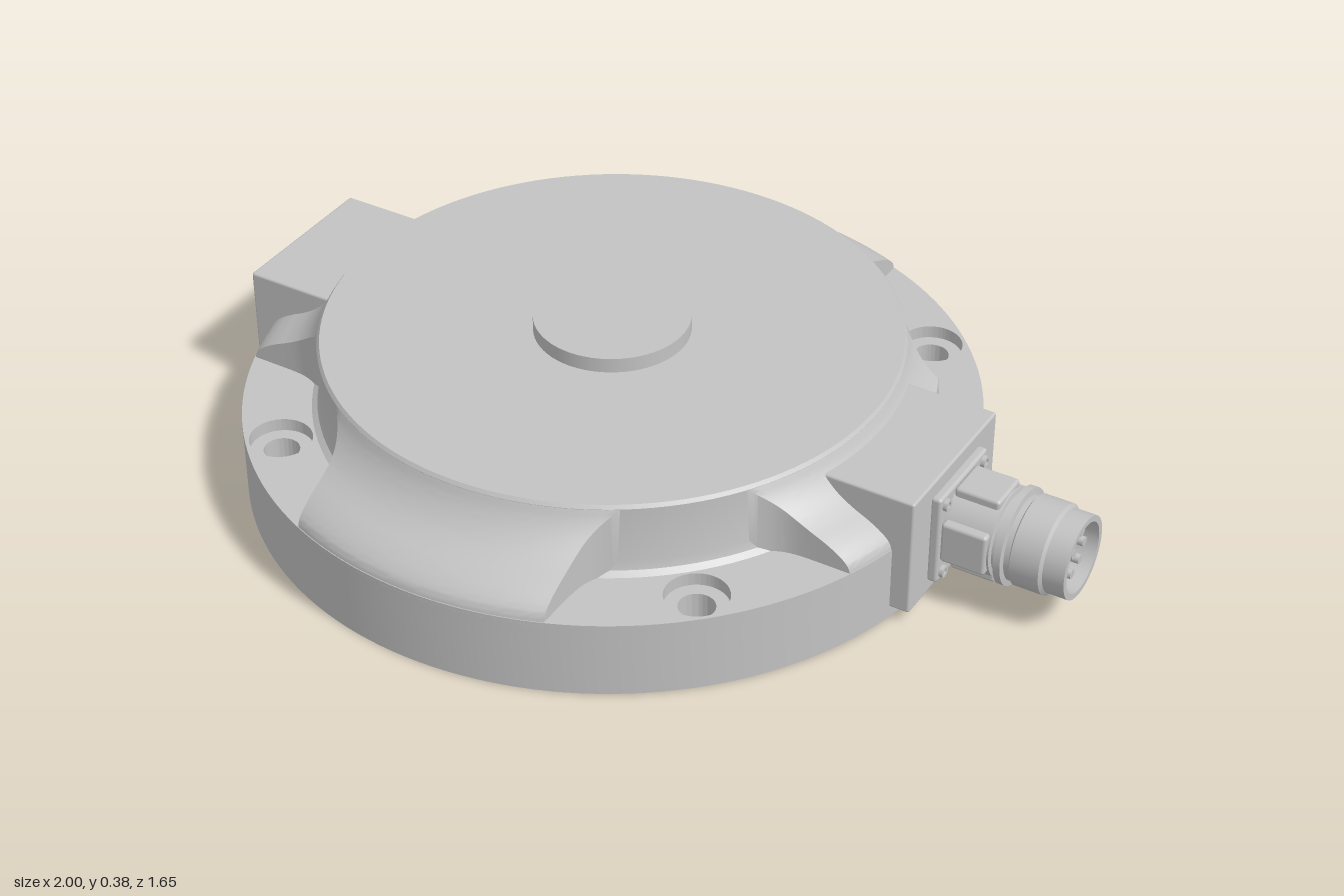
import * as THREE from 'three';
import { toCreasedNormals } from 'three/addons/utils/BufferGeometryUtils.js';
import { RoundedBoxGeometry } from 'three/addons/geometries/RoundedBoxGeometry.js';

const TAU = Math.PI * 2;
const RADIUS = 0.825;

export function createModel() {
  const metal = new THREE.MeshStandardMaterial({ color: 0xc3c3c3, side: THREE.DoubleSide });
  metal.name = 'light grey metal';
  const model = new THREE.Group();
  const body = new THREE.Group();
  body.name = 'body';
  body.position.x = -0.15;
  model.add(body);

  function add(parent, name, geometry, x = 0, y = 0, z = 0) {
    const mesh = new THREE.Mesh(geometry, metal);
    mesh.name = name;
    mesh.position.set(x, y, z);
    parent.add(mesh);
    return mesh;
  }
  const lathe = (points, segments = 96) => toCreasedNormals(
    new THREE.LatheGeometry(points.map(([r, y]) => new THREE.Vector2(r, y)), segments), 0.5);
  const circle = (r, x = 0, y = 0) => new THREE.Path().absarc(x, y, r, 0, TAU, true);

  // Horizontal plate with holes, standing on its own y = 0; a cut angle flattens its +x side
  function plate(outerRadius, holes, height, cut = 0) {
    const shape = new THREE.Shape().absarc(0, 0, outerRadius, cut, TAU - cut, false);
    shape.holes.push(...holes);
    const g = new THREE.ExtrudeGeometry(shape, { depth: height, bevelEnabled: false, curveSegments: 80 });
    g.rotateX(-Math.PI / 2);
    return toCreasedNormals(g, 0.35);
  }

  // Base ring: through holes at the corners, blind holes under the shoulders
  const corners = [[1, 1], [1, -1], [-1, -1], [-1, 1]].map(([a, b]) => [a * 0.528, b * 0.528]);
  const blind = [[0, 0.745], [0, -0.745]];
  add(body, 'baseRing', plate(RADIUS,
    [circle(0.62), ...corners.map(([x, z]) => circle(0.04, x, z)), ...blind.map(([x, z]) => circle(0.034, x, z))], 0.15));
  add(body, 'counterboreRing', plate(RADIUS,
    [circle(0.62), ...corners.map(([x, z]) => circle(0.07, x, z))], 0.03), 0, 0.15);

  // Underside: deep ring groove around a core with one flat side and a slot
  add(body, 'grooveWall', lathe([[0.62, 0], [0.62, 0.25], [0.4, 0.25]]));
  const slot = new THREE.Path();
  slot.absarc(0.24, 0.12, 0.034, 0, Math.PI, false);
  slot.absarc(0.24, -0.27, 0.034, Math.PI, TAU, false);
  slot.closePath();
  add(body, 'coreFace', plate(0.503, [slot], 0.055, 0.43), 0, 0.045);
  add(body, 'core', plate(0.503, [], 0.16, 0.43), 0, 0.1);

  // Drum and raised centre pad
  add(body, 'drum', lathe([[0.63, 0.175], [0.672, 0.179], [0.658, 0.19], [0.652, 0.21],
    [0.65, 0.342], [0.644, 0.35], [0, 0.35]], 128));
  add(body, 'centrePad', new THREE.CylinderGeometry(0.175, 0.175, 0.035, 64), 0, 0.3675);

  // Shoulders: ogee blocks between the corner pockets
  const profile = new THREE.CatmullRomCurve3([
    [RADIUS, 0.172], [0.818, 0.196], [0.797, 0.217], [0.767, 0.236], [0.736, 0.252],
    [0.706, 0.271], [0.68, 0.295], [0.661, 0.32], [0.649, 0.343],
  ].map(([r, y]) => new THREE.Vector3(r, y, 0)));
  function shoulder(notched) {
    const g = new THREE.PlaneGeometry(1, 1, 42, 32);
    const p = g.attributes.position;
    for (let i = 0; i < p.count; i++) {
      const column = Math.round((p.getX(i) + 0.5) * 42);
      const c = profile.getPoint(p.getY(i) + 0.5);
      const s = THREE.MathUtils.clamp((column - 21) / 20, -1, 1);
      const flare = (RADIUS - c.x) / (RADIUS - 0.649);
      const u = s * (0.307 + 0.05 * flare ** 8);
      const cutAway = notched && u > 0.165 && c.x > 0.722;
      const y = cutAway || column === 0 || column === 42 ? 0.179 : c.y;
      p.setXYZ(i, u, y, Math.sqrt(c.x * c.x - u * u));
    }
    return toCreasedNormals(g, 0.6);
  }
  ['front', 'left', 'back', 'right'].forEach((side, k) => {
    add(body, side + 'Shoulder', shoulder(k === 1)).rotation.y = k * Math.PI / 2;
  });

  // Side housings
  function housing(name, x0, x1) {
    add(model, name, new RoundedBoxGeometry(x1 - x0, 0.287, 0.384, 2, 0.006), (x0 + x1) / 2, 0.1705);
  }
  housing('connectorHousing', 0.472, 0.698);
  housing('plainHousing', -1, -0.772);
  const vent = add(model, 'ventPlug', lathe([[0, 0.004], [0.018, 0.004], [0.018, 0.012], [0.038, 0.012], [0.038, 0]], 32),
    0.61, 0.243, -0.19);
  vent.rotation.x = -Math.PI / 2;

  // Round connector, built along its local y and turned to point along +x
  const connector = new THREE.Group();
  connector.name = 'connector';
  connector.position.set(0.695, 0.17, 0);
  connector.rotation.z = -Math.PI / 2;
  model.add(connector);
  add(connector, 'flange', new RoundedBoxGeometry(0.22, 0.026, 0.22, 2, 0.008), 0, 0.012);
  for (const a of [-1, 1]) for (const b of [-1, 1]) {
    add(connector, 'flangeScrew', lathe([[0.014, 0], [0.014, 0.012], [0.007, 0.012], [0.007, 0.006], [0, 0.006]], 20),
      a * 0.088, 0.022, b * 0.088);
  }
  add(connector, 'shell', lathe([[0.1, 0.02], [0.1, 0.135], [0.09, 0.137], [0.09, 0.148], [0.11, 0.15],
    [0.11, 0.166], [0.096, 0.168], [0.096, 0.18], [0.102, 0.184], [0.102, 0.25], [0.094, 0.256],
    [0.094, 0.305], [0.08, 0.305], [0.08, 0.2], [0, 0.2]], 48));
  for (let i = 0; i < 4; i++) {
    const holder = new THREE.Group();
    holder.name = 'gripPad';
    holder.rotation.y = (i * TAU) / 4;
    add(holder, 'pad', new RoundedBoxGeometry(0.1, 0.105, 0.03, 2, 0.008), 0, 0.078, 0.092);
    connector.add(holder);
  }
  const pin = new THREE.CylinderGeometry(0.011, 0.011, 0.09, 16);
  add(connector, 'centrePin', pin, 0, 0.24);
  for (let i = 0; i < 8; i++) {
    const a = (i / 8) * TAU;
    add(connector, 'pin', pin, Math.cos(a) * 0.052, 0.24, Math.sin(a) * 0.052);
  }
  return model;
}
